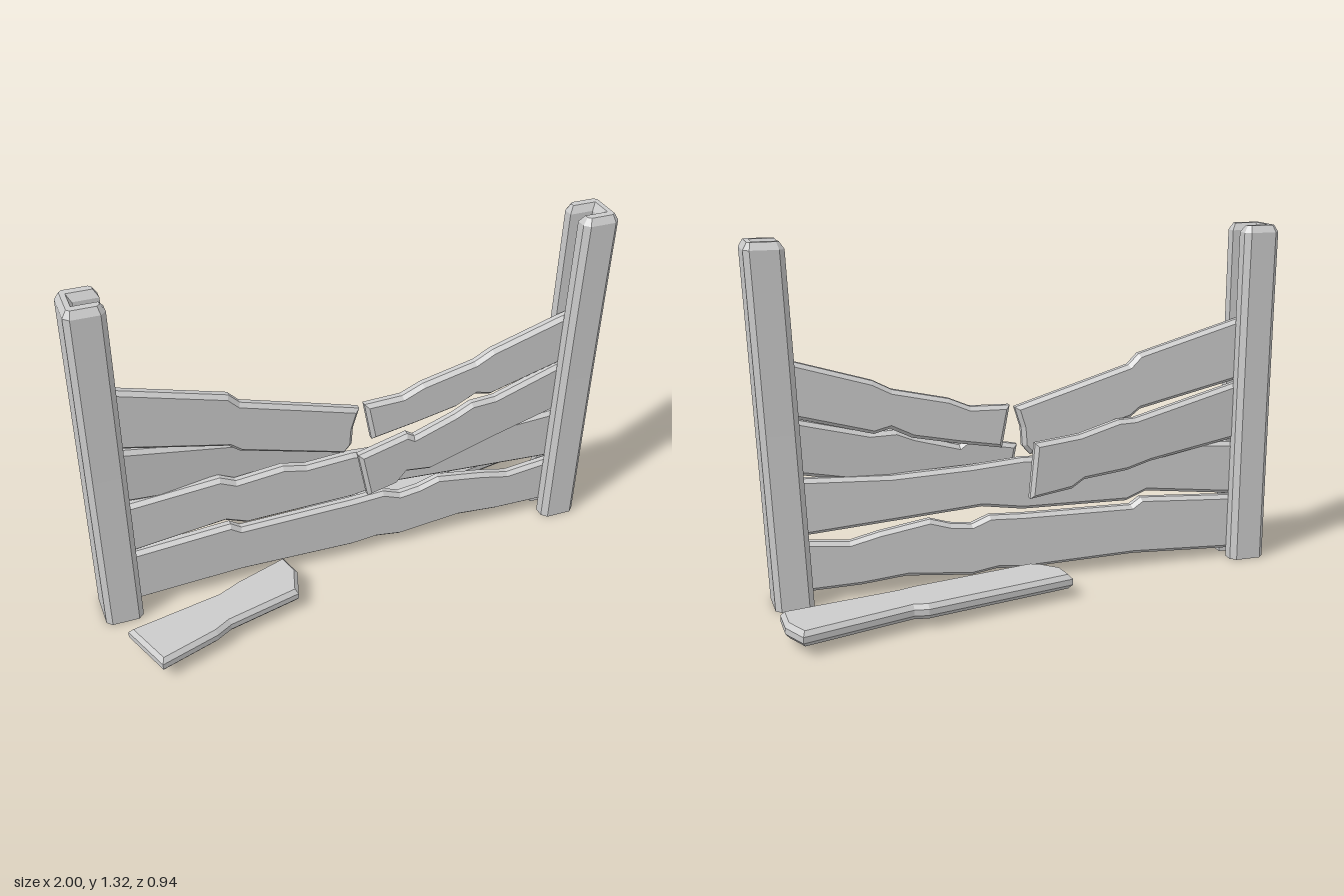
import * as THREE from 'three';

const material = new THREE.MeshStandardMaterial({ color: 0xcccccc, flatShading: true });
const MID_Z = 0.035;

// Chamfered slab with the given outline, centred on its own thickness
function slab(outline, thickness, bevel) {
  const shape = new THREE.Shape(outline.map(([x, y]) => new THREE.Vector2(x, y)));
  const geo = new THREE.ExtrudeGeometry(shape, {
    depth: thickness * 0.4, bevelEnabled: true, bevelSegments: 1,
    bevelThickness: thickness * 0.3, bevelSize: bevel, bevelOffset: -bevel,
  });
  return geo.translate(0, 0, -thickness * 0.2);
}

// Moves every vertex by a rule and refreshes the normals
function reshape(geo, rule) {
  const p = geo.attributes.position;
  const v = new THREE.Vector3();
  for (let i = 0; i < p.count; i++) {
    rule(v.fromBufferAttribute(p, i));
    p.setXYZ(i, v.x, v.y, v.z);
  }
  geo.computeVertexNormals();
  return geo;
}

function named(name, geo) {
  const mesh = new THREE.Mesh(geo, material);
  mesh.name = name;
  return mesh;
}

// Upright board; zAt gives the board's depth along x
function board(name, top, bottom, zAt = () => MID_Z) {
  const geo = slab([...bottom, ...top.slice().reverse()], 0.052, 0.014);
  return named(name, reshape(geo, (v) => { v.z += zAt(v.x); }));
}

// Board lying on the ground; outline in x, z
function fallenBoard(name, outline) {
  const geo = slab(outline.map(([x, z]) => [x, -z]), 0.055, 0.014);
  geo.rotateX(-Math.PI / 2).translate(0, 0.0625, 0);
  return named(name, geo);
}

// Grooved post: a chamfered U section, bevelled at the top; the groove faces +x
function post(name, side, bottomX, topX) {
  const w = 0.07, d = 0.088, c = 0.02, g = 0.028, back = -0.02;
  const section = [
    [-w + c, -d], [w - c, -d], [w, -d + c], [w, -g], [back, -g],
    [back, g], [w, g], [w, d - c], [w - c, d], [-w + c, d], [-w, d - c], [-w, -d + c],
  ];
  const height = 1.315, bevel = 0.026;
  const shape = new THREE.Shape(section.map(([x, y]) => new THREE.Vector2(x, y)));
  const geo = new THREE.ExtrudeGeometry(shape, {
    depth: height - bevel, steps: 4, bevelEnabled: true, bevelSegments: 1,
    bevelThickness: bevel, bevelSize: 0.016, bevelOffset: -0.016,
  });
  geo.rotateX(-Math.PI / 2);
  if (side > 0) geo.rotateY(Math.PI);
  // Flat foot, leaning axis and a slight waist
  return named(name, reshape(geo, (v) => {
    v.y = Math.max(0, v.y);
    const t = v.y / height;
    const waist = 1 - 0.05 * Math.sin(Math.PI * t);
    v.x += bottomX + (topX - bottomX) * t;
    v.z = v.z * waist + MID_Z + 0.003;
  }));
}

export function createModel() {
  const group = new THREE.Group();
  group.name = 'brokenFence';

  group.add(
    post('rightPost', -1, -0.917, -0.929),
    post('leftPost', 1, 0.873, 0.929),

    // Full-length boards
    board('bottomBoard',
      [[-0.93, 0.245], [-0.85, 0.25], [-0.48, 0.275], [-0.44, 0.248], [0, 0.255], [0.13, 0.262],
        [0.2, 0.235], [0.28, 0.245], [0.36, 0.27], [0.55, 0.24], [0.66, 0.215], [0.9, 0.24]],
      [[-0.93, 0.025], [-0.85, 0.03], [-0.45, 0.05], [0, 0.04], [0.1, 0.05], [0.2, 0.035],
        [0.45, 0.06], [0.62, 0.045], [0.9, 0.04]]),
    board('middleBoard',
      [[-0.93, 0.46], [-0.85, 0.468], [-0.51, 0.495], [-0.45, 0.467], [-0.27, 0.485], [-0.18, 0.465],
        [0, 0.475], [0.2, 0.46], [0.5, 0.45], [0.9, 0.47]],
      [[-0.93, 0.25], [-0.85, 0.258], [-0.5, 0.3], [-0.42, 0.268], [0, 0.275], [0.16, 0.3],
        [0.45, 0.28], [0.9, 0.25]]),

    // Snapped boards, swung out at their broken ends
    board('brokenBoardBack',
      [[-0.93, 0.72], [-0.85, 0.7], [-0.43, 0.605], [-0.36, 0.605], [-0.2, 0.565], [-0.02, 0.55]],
      [[-0.93, 0.49], [-0.85, 0.48], [-0.5, 0.43], [-0.4, 0.405], [-0.22, 0.39], [-0.17, 0.36], [0, 0.34]],
      (x) => MID_Z - 0.092 * (x + 0.9) / 0.9),
    board('brokenBoardFront',
      [[0, 0.51], [0.2, 0.55], [0.23, 0.53], [0.4, 0.58], [0.47, 0.61], [0.57, 0.61], [0.83, 0.68], [0.9, 0.695]],
      [[0.04, 0.315], [0.16, 0.335], [0.2, 0.378], [0.3, 0.36], [0.55, 0.42], [0.81, 0.475], [0.9, 0.49]],
      (x) => MID_Z + 0.07 * (0.9 - x) / 0.9),
    board('topBoardRight',
      [[-0.93, 0.972], [-0.85, 0.95], [-0.46, 0.842], [-0.42, 0.802], [0.03, 0.67]],
      [[-0.93, 0.73], [-0.85, 0.712], [-0.47, 0.628], [-0.43, 0.597], [-0.03, 0.485], [0, 0.52], [0.005, 0.59]]),
    board('topBoardLeft',
      [[0.05, 0.68], [0.2, 0.685], [0.28, 0.72], [0.49, 0.768], [0.56, 0.805], [0.83, 0.888], [0.9, 0.905]],
      [[0.08, 0.52], [0.25, 0.55], [0.42, 0.585], [0.5, 0.625], [0.56, 0.61], [0.83, 0.685], [0.9, 0.7]]),

    // Pieces lying on the ground
    fallenBoard('fallenBoardBack',
      [[-0.11, -0.235], [0.46, -0.36], [0.51, -0.35], [0.91, -0.47], [0.955, -0.37], [0.955, -0.255],
        [0.53, -0.175], [0.47, -0.155], [0, -0.06], [-0.04, -0.08], [-0.1, -0.14]]),
    fallenBoard('fallenBoardFront',
      [[-0.935, 0.262], [-0.58, 0.188], [-0.5, 0.15], [-0.29, 0.078], [-0.265, 0.17], [-0.3, 0.285],
        [-0.58, 0.355], [-0.64, 0.39], [-0.86, 0.465]]),
  );
  return group;
}
